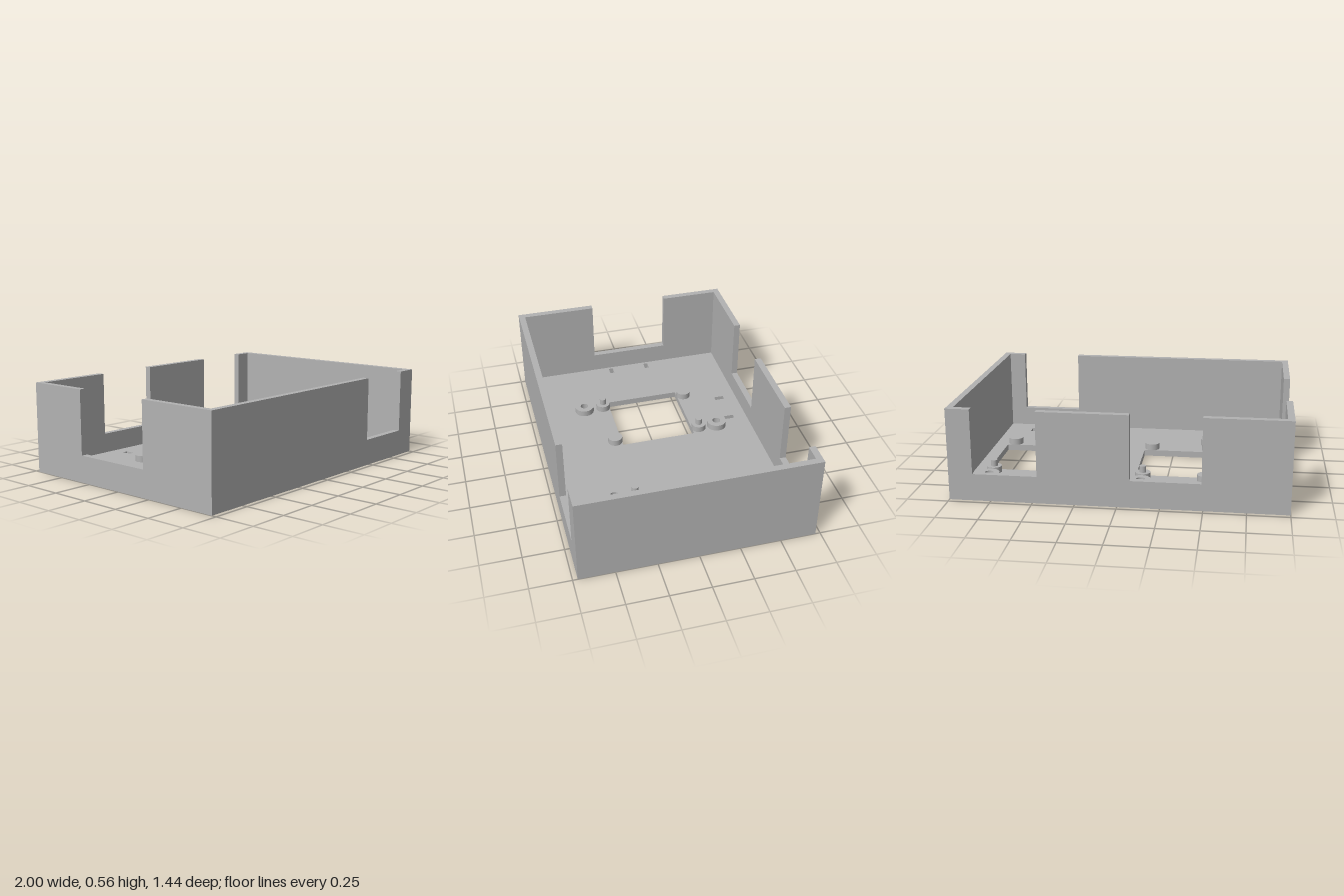
import * as THREE from 'three';

const WALL = 0.04, FLOOR = 0.04, TOP = 0.56, SILL = 0.165, DEPTH = 0.72;

export function createModel() {
  const group = new THREE.Group();
  const grey = new THREE.MeshStandardMaterial({ color: 0xb2b2b2 });
  grey.name = 'grey plastic';

  function add(name, geometry, x = 0, y = 0, z = 0) {
    const mesh = new THREE.Mesh(geometry, grey);
    mesh.name = name;
    mesh.position.set(x, y, z);
    group.add(mesh);
  }

  const extrude = (shape, depth) =>
    new THREE.ExtrudeGeometry(shape, { depth, bevelEnabled: false, curveSegments: 24 });
  // Extrudes a plan drawn in (x, z) so that it rises from y = 0
  const slab = (shape, height) =>
    extrude(shape, height).rotateX(Math.PI / 2).translate(0, height, 0);

  function rectPath(x0, x1, z0, z1) {
    const p = new THREE.Path();
    p.moveTo(x0, z0).lineTo(x0, z1).lineTo(x1, z1).lineTo(x1, z0).closePath();
    return p;
  }
  const circlePath = (x, z, r) => new THREE.Path().absarc(x, z, r, 0, Math.PI * 2, true);

  // Mounting layout: two identical bays
  const bays = [0, 0.938];
  const screwSpots = [], pinSpots = [], padSpots = [];
  for (const dx of bays) {
    screwSpots.push([-0.108 + dx, -0.45], [-0.49 + dx, 0.38]);
    pinSpots.push([-0.108 + dx, -0.325], [-0.49 + dx, 0.25]);
    padSpots.push([-0.49 + dx, -0.325], [-0.108 + dx, 0.25]);
  }

  // Floor with bay openings, screw holes and strap slots
  const floor = new THREE.Shape();
  floor.moveTo(-1, -DEPTH).lineTo(1, -DEPTH).lineTo(1, DEPTH).lineTo(-1, DEPTH).closePath();
  for (const dx of bays) floor.holes.push(rectPath(-0.54 + dx, -0.06 + dx, -0.28, 0.207));
  for (const [x, z] of screwSpots) floor.holes.push(circlePath(x, z, 0.026));
  const slots = [[-0.395, -0.563], [-0.17, -0.563], [0.55, -0.563], [0.775, -0.563],
    [0.55, 0.553], [0.775, 0.553]];
  for (const [x, z] of slots) floor.holes.push(rectPath(x - 0.016, x + 0.016, z - 0.032, z + 0.032));
  for (const z of [-0.165, 0.095]) floor.holes.push(rectPath(-0.943, -0.888, z - 0.015, z + 0.015));
  add('floor', slab(floor, FLOOR));

  // Wall outline with notches cut down from the rim
  function wall(u0, u1, notches) {
    const s = new THREE.Shape();
    s.moveTo(u0, FLOOR).lineTo(u1, FLOOR).lineTo(u1, TOP);
    for (const [a, b] of [...notches].reverse()) {
      s.lineTo(b, TOP).lineTo(b, SILL).lineTo(a, SILL).lineTo(a, TOP);
    }
    s.lineTo(u0, TOP).closePath();
    return extrude(s, WALL);
  }
  const inner = DEPTH - WALL;
  add('frontWall', wall(-1, 1, [[0.47, 0.855]]), 0, 0, inner);
  add('backWall', wall(-1, 1, [[-0.49, -0.073], [0.47, 0.855]]), 0, 0, -DEPTH);
  add('leftWall', wall(-inner, inner, []).rotateY(-Math.PI / 2), 1);
  add('rightWall', wall(-inner, inner, [[-0.31, 0.207]]).rotateY(-Math.PI / 2), -1 + WALL);

  // Screw bosses, locating pins and support pads
  const ring = new THREE.Shape().absarc(0, 0, 0.063, 0, Math.PI * 2);
  ring.holes.push(circlePath(0, 0, 0.026));
  const ringGeo = slab(ring, 0.04);
  const padGeo = new THREE.CylinderGeometry(0.047, 0.047, 0.04, 32);
  const pinGeo = new THREE.CylinderGeometry(0.021, 0.021, 0.04, 24);
  for (const [x, z] of screwSpots) add('screwBoss', ringGeo, x, FLOOR, z);
  for (const [x, z] of [...padSpots, ...pinSpots]) add('supportPad', padGeo, x, FLOOR + 0.02, z);
  for (const [x, z] of pinSpots) add('locatingPin', pinGeo, x, FLOOR + 0.06, z);

  return group;
}
